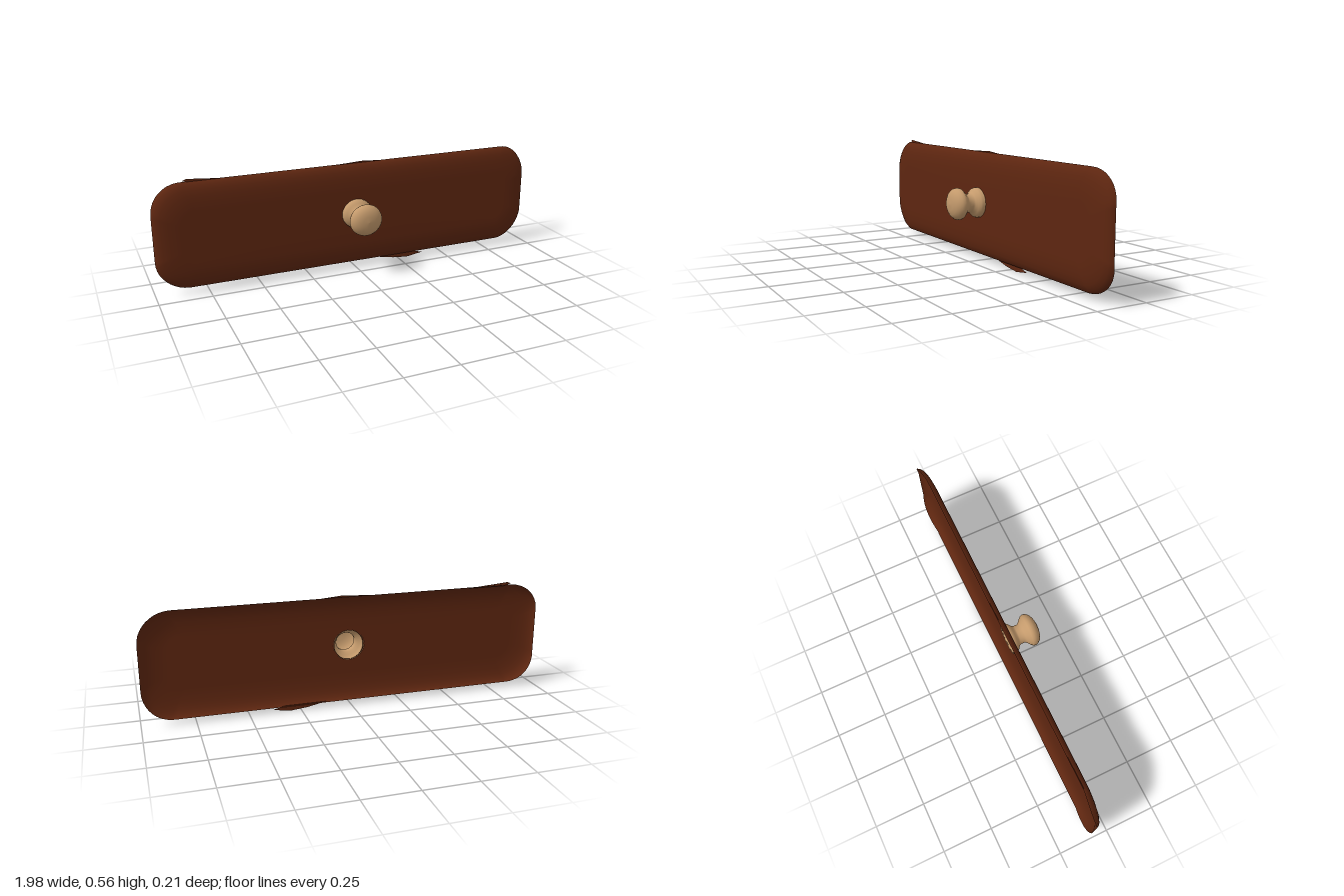
import * as THREE from 'three';

const CY = 0.285; // height of the plate's middle
const KNOB_Y = 0.296;
const CORNER_STEPS = 10;

// Closed loop of a rounded rectangle; every entry is [x, y, angle].
function roundedLoop(halfW, halfH, r) {
  const pts = [];
  [[1, 1], [-1, 1], [-1, -1], [1, -1]].forEach(([sx, sy], k) => {
    for (let i = 0; i <= CORNER_STEPS; i++) {
      const a = (k + i / CORNER_STEPS) * Math.PI / 2;
      pts.push([sx * (halfW - r) + r * Math.cos(a), CY + sy * (halfH - r) + r * Math.sin(a), a]);
    }
  });
  return pts;
}

// Skins neighbouring loops with smooth quads, front towards +z.
function skin(loops) {
  const n = loops[0].length, index = [];
  for (let j = 0; j < loops.length - 1; j++) {
    for (let i = 0; i < n; i++) {
      const k = (i + 1) % n;
      const a = j * n + i, b = j * n + k, c = a + n, d = b + n;
      index.push(a, c, b, b, c, d);
    }
  }
  const geo = new THREE.BufferGeometry();
  geo.setAttribute('position', new THREE.Float32BufferAttribute(loops.flat(2), 3));
  geo.setIndex(index);
  geo.computeVertexNormals();
  return geo;
}

export function createModel() {
  const model = new THREE.Group();
  model.name = 'drawerFront';
  const wood = new THREE.MeshStandardMaterial({ color: 0x5e2610, side: THREE.DoubleSide });
  wood.name = 'dark brown wood';
  const tan = new THREE.MeshStandardMaterial({ color: 0xc49a6c, side: THREE.DoubleSide });
  tan.name = 'tan wood';

  // Plate: open shell with a round knob hole and edges curling backwards
  const rim = [ // inset, z, share of the extra bend at the corners
    [0.13, -0.05, 0], [0.10, -0.051, 0], [0.065, -0.054, 0.1], [0.035, -0.06, 0.3],
    [0.015, -0.069, 0.5], [0.004, -0.079, 0.8], [0, -0.088, 1],
  ];
  const loops = rim.map(([inset, z, bend]) =>
    roundedLoop(0.99 - inset, 0.26 - inset, 0.15 - inset * 0.6)
      .map(([x, y, a]) => [x, y, z - 0.01 * bend * Math.abs(Math.sin(2 * a))]));
  const hole = roundedLoop(0.99, 0.26, 0.15)
    .map(([, , a]) => [0.072 * Math.cos(a), KNOB_Y + 0.072 * Math.sin(a), -0.05]);
  const plate = new THREE.Mesh(skin([hole, ...loops]), wood);
  plate.name = 'plate';
  model.add(plate);

  // Knob: hollow turned shell, open at the back
  const profile = [
    [0.074, -0.054], [0.074, -0.036], [0.071, -0.028], [0.062, -0.018], [0.05, -0.009],
    [0.046, 0], [0.046, 0.02], [0.052, 0.029], [0.066, 0.042], [0.076, 0.053],
    [0.079, 0.064], [0.076, 0.077], [0.066, 0.09], [0.05, 0.1], [0.028, 0.106], [0, 0.108],
  ].map(([r, z]) => new THREE.Vector2(r, z));
  const knob = new THREE.Mesh(new THREE.LatheGeometry(profile, 32).rotateX(Math.PI / 2), tan);
  knob.name = 'knob';
  knob.position.y = KNOB_Y;
  knob.scale.x = 1.05;
  model.add(knob);

  // Splinters: thin slivers along the ragged edges
  const splinters = [
    [[0.12, 0.03], [0.22, 0.01], [0.3, 0.002], [0.39, 0.015], [0.33, 0.03]],
    [[-0.84, 0.55], [-0.82, 0.558], [-0.7, 0.548], [-0.6, 0.54], [-0.8, 0.54]],
    [[-0.12, 0.544], [0.05, 0.552], [0.15, 0.544]],
  ];
  splinters.forEach((pts) => {
    const shape = new THREE.Shape(pts.map(([x, y]) => new THREE.Vector2(x, y)));
    const splinter = new THREE.Mesh(new THREE.ShapeGeometry(shape), wood);
    splinter.name = 'splinter';
    splinter.position.z = -0.085;
    model.add(splinter);
  });

  return model;
}
